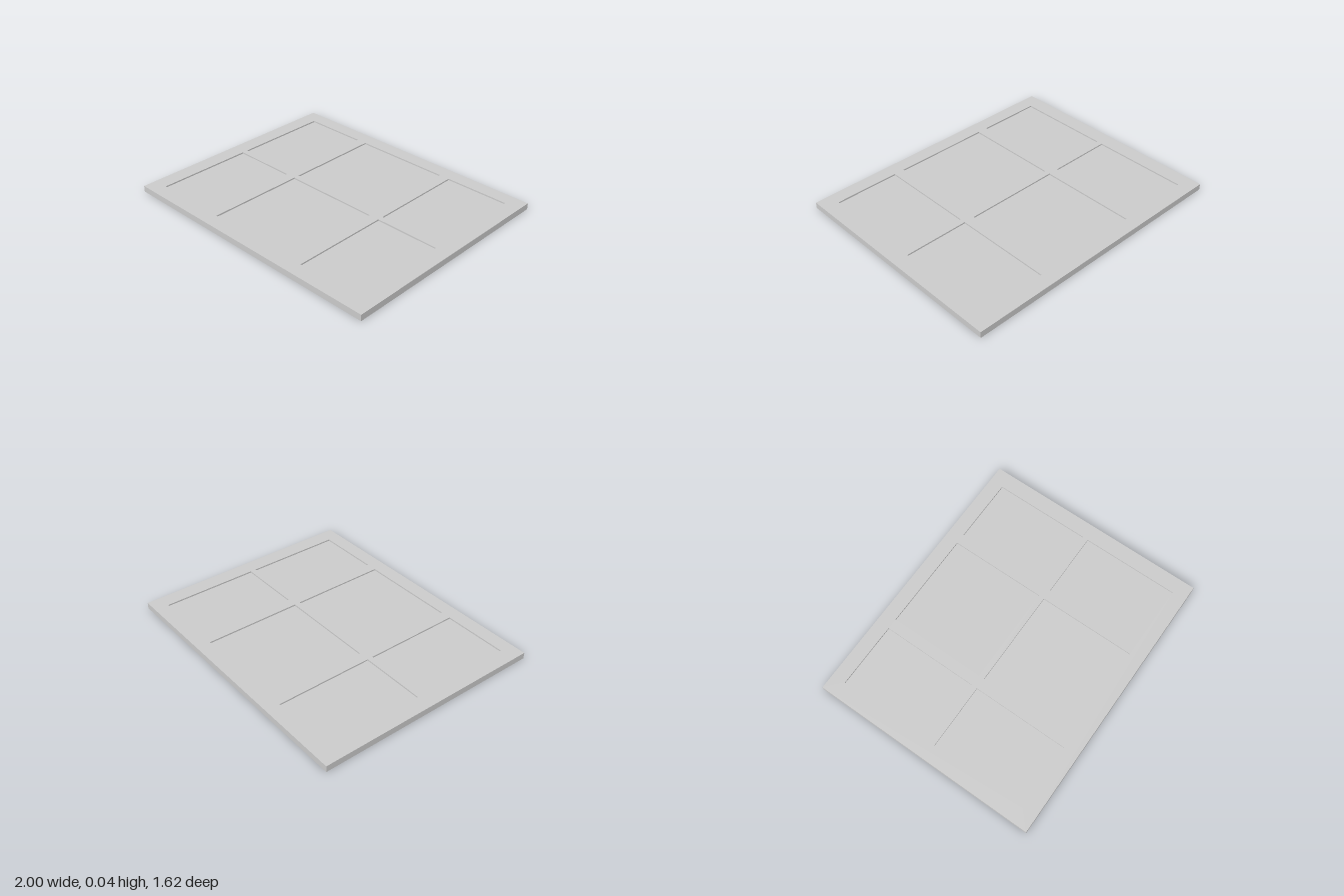
import * as THREE from 'three';

const H = 0.044; // overall thickness

export function createModel() {
  const model = new THREE.Group();
  model.name = 'windowPanel';
  const material = new THREE.MeshStandardMaterial({ color: 0xcccccc, flatShading: true });

  const add = (name, geometry, x, y, z) => {
    const mesh = new THREE.Mesh(geometry, material);
    mesh.name = name;
    mesh.position.set(x, y, z);
    model.add(mesh);
    return mesh;
  };

  const rect = (target, x0, x1, z) => {
    target.moveTo(x0, -z).lineTo(x1, -z).lineTo(x1, z).lineTo(x0, z).closePath();
    return target;
  };

  // Frame with two mullions, cut by three tall openings
  const columns = [[-0.89, -0.425], [-0.35, 0.35], [0.425, 0.89]];
  const openingZ = 0.71;
  const outline = rect(new THREE.Shape(), -1, 1, 0.81);
  for (const [x0, x1] of columns) outline.holes.push(rect(new THREE.Path(), x0, x1, openingZ));
  const frame = new THREE.ExtrudeGeometry(outline, { depth: H, bevelEnabled: false });
  frame.rotateX(-Math.PI / 2);
  add('frame', frame, 0, 0, 0);

  // Each opening holds two thin recessed panes and a shallow glazing bar
  const barHalf = 0.02;
  const barBottom = 0.025;
  const paneDepth = openingZ - barHalf;
  for (const [x0, x1] of columns) {
    const width = x1 - x0;
    const cx = (x0 + x1) / 2;
    for (const side of [1, -1]) {
      add('pane', new THREE.BoxGeometry(width, 0.006, paneDepth), cx, 0.031, side * (barHalf + paneDepth / 2));
    }
    add('glazingBar', new THREE.BoxGeometry(width, H - barBottom, barHalf * 2), cx, (H + barBottom) / 2, 0);
  }

  return model;
}
